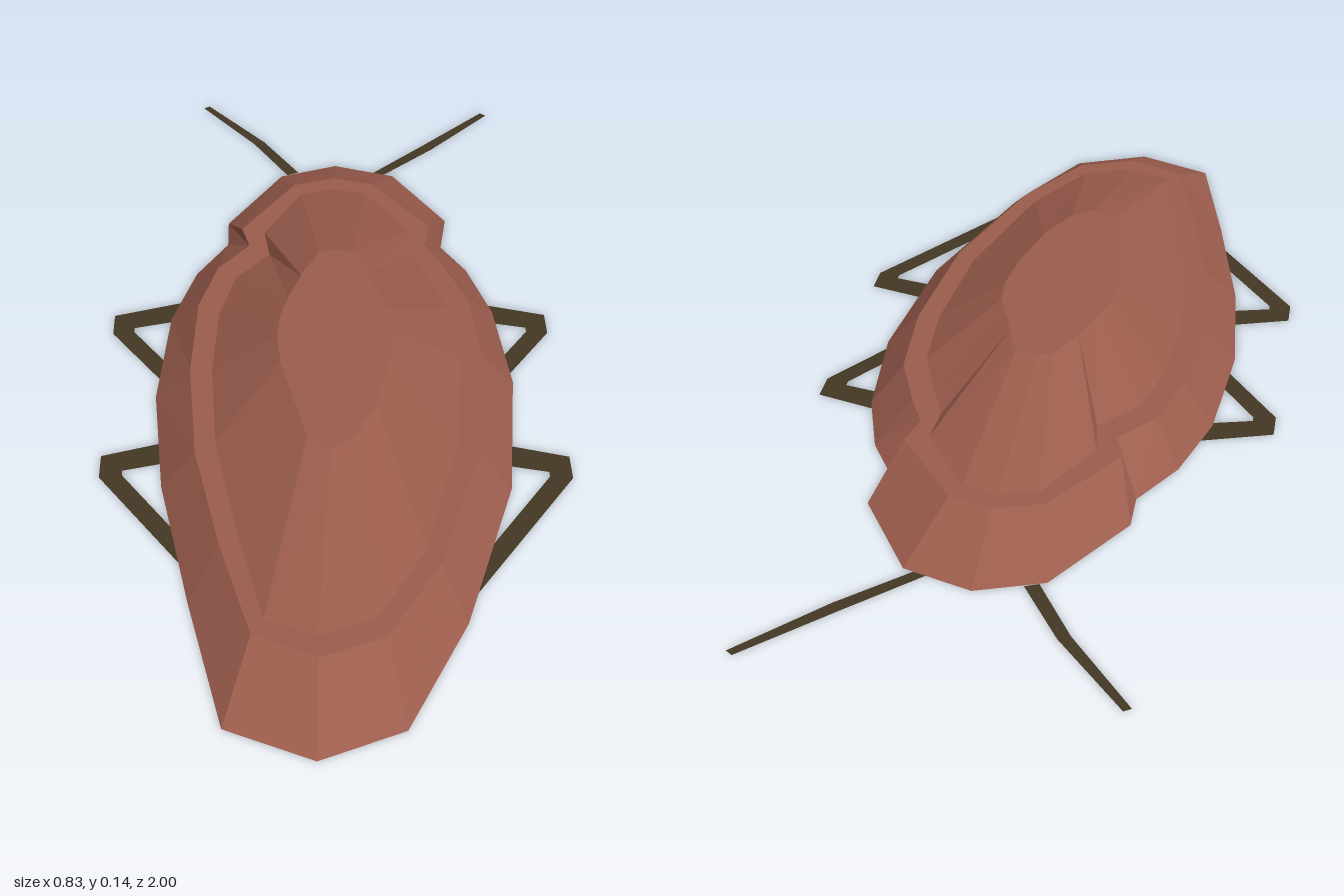
import * as THREE from 'three';

const shellMat = new THREE.MeshStandardMaterial({ color: 0x9c5d4d, flatShading: true, side: THREE.DoubleSide });
shellMat.name = 'reddish brown shell';
const limbMat = new THREE.MeshStandardMaterial({ color: 0x443824, flatShading: true, side: THREE.DoubleSide });
limbMat.name = 'dark olive limbs';

// Contours as x, z pairs, from the head tip round by +x to the tail and back
const rim = [
  0.025, -0.735, 0.145, -0.69, 0.245, -0.51, 0.23, -0.41, 0.275, -0.325, 0.315, -0.18, 0.335, 0.05,
  0.305, 0.36, 0.205, 0.7, 0.095, 0.935, -0.045, 0.995, -0.19, 0.925, -0.25, 0.64, -0.305, 0.34,
  -0.325, 0.08, -0.305, -0.17, -0.26, -0.325, -0.2, -0.43, -0.2, -0.51, -0.09, -0.695];
const ledgeOuter = [
  0.02, -0.585, 0.095, -0.56, 0.205, -0.395, 0.19, -0.33, 0.22, -0.26, 0.262, -0.14, 0.275, 0.05,
  0.25, 0.33, 0.165, 0.62, 0.07, 0.79, -0.04, 0.835, -0.145, 0.78, -0.2, 0.56, -0.245, 0.32,
  -0.26, 0.08, -0.25, -0.13, -0.215, -0.255, -0.155, -0.335, -0.17, -0.395, -0.065, -0.56];
const ledgeInner = [
  0.015, -0.545, 0.08, -0.525, 0.165, -0.38, 0.16, -0.3, 0.185, -0.23, 0.225, -0.11, 0.235, 0.05,
  0.215, 0.3, 0.14, 0.59, 0.055, 0.75, -0.04, 0.785, -0.125, 0.745, -0.17, 0.53, -0.21, 0.29,
  -0.22, 0.08, -0.21, -0.1, -0.18, -0.22, -0.115, -0.3, -0.125, -0.38, -0.05, -0.525];
const crown = [
  0.005, -0.2, 0.045, -0.19, 0.07, -0.118, 0.07, -0.112, 0.085, -0.06, 0.105, 0, 0.11, 0.07,
  0.1, 0.16, 0.07, 0.29, 0.03, 0.38, -0.01, 0.41, -0.05, 0.375, -0.075, 0.26, -0.095, 0.16,
  -0.1, 0.08, -0.095, 0.02, -0.08, -0.04, -0.055, -0.112, -0.055, -0.118, -0.02, -0.19];

const MID = 0.06, TOP = 0.135;
const lift = (ring, y) => Array.from({ length: ring.length / 2 }, (_, i) => [ring[2 * i], y, ring[2 * i + 1]]);

// Faceted band between two contours
function band(name, outer, inner) {
  const pos = [];
  outer.forEach((a0, i) => {
    const j = (i + 1) % outer.length;
    pos.push(...a0, ...inner[i], ...outer[j], ...outer[j], ...inner[i], ...inner[j]);
  });
  return facets(name, pos);
}

function facets(name, pos) {
  const geo = new THREE.BufferGeometry();
  geo.setAttribute('position', new THREE.Float32BufferAttribute(pos, 3));
  geo.computeVertexNormals();
  const mesh = new THREE.Mesh(geo, shellMat);
  mesh.name = name;
  return mesh;
}

// Flat piece lying on the ground, outlined by [x, z] points
function flatPiece(name, points) {
  const shape = new THREE.Shape(points.map(([x, z]) => new THREE.Vector2(x, -z)));
  const mesh = new THREE.Mesh(new THREE.ShapeGeometry(shape).rotateX(-Math.PI / 2), limbMat);
  mesh.name = name;
  return mesh;
}

export function createModel() {
  const model = new THREE.Group();
  model.name = 'beetle';

  // Hollow stepped shell with neck notches
  const shell = new THREE.Group();
  shell.name = 'shell';
  const r0 = lift(rim, 0), r1 = lift(ledgeOuter, MID), r2 = lift(ledgeInner, MID), r3 = lift(crown, TOP);
  shell.add(band('lowerSlope', r0, r1), band('ledge', r1, r2), band('upperSlope', r2, r3));
  shell.add(band('crown', r3, r3.map(() => [0.005, TOP, 0.08])));
  model.add(shell);

  // Bent legs: short thick thigh, long thin shin
  const leg = [[0.29, -0.04], [0.415, 0], [0.415, 0.06], [0.2, 0.395], [0.18, 0.36], [0.375, 0.055], [0.375, 0.042], [0.29, 0.02]];
  for (const [name, side, z0] of [
    ['leftFrontLeg', 1, -0.167], ['rightFrontLeg', -1, -0.183],
    ['leftRearLeg', 1, 0.273], ['rightRearLeg', -1, 0.252],
  ]) model.add(flatPiece(name, leg.map(([x, z]) => [side * x, z + z0])));

  // Slightly bent antennae
  model.add(flatPiece('leftAntenna', [[0.1, -0.7], [0.215, -0.815], [0.352, -0.955], [0.364, -0.945], [0.235, -0.8], [0.12, -0.69]]));
  model.add(flatPiece('rightAntenna', [[-0.055, -0.71], [-0.128, -0.84], [-0.25, -1], [-0.262, -0.992], [-0.148, -0.83], [-0.078, -0.7]]));
  return model;
}
